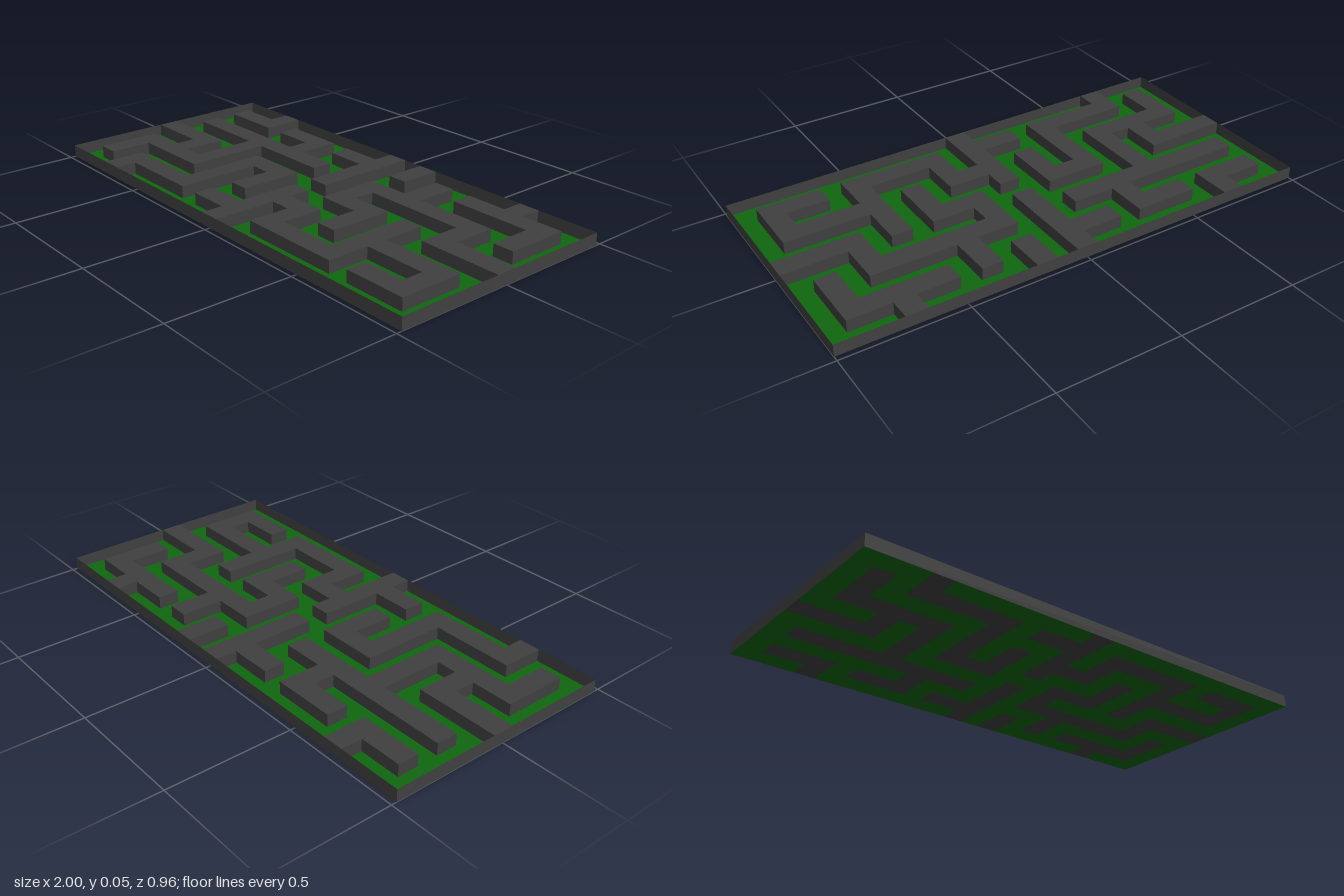
import * as THREE from 'three';
import { mergeGeometries } from 'three/addons/utils/BufferGeometryUtils.js';

// Maze plan seen from above, back row first: # is wall, . is corridor
const PLAN = [
  '...#.......#.#.....#...',
  '.###.###.###.#.#.#####.',
  '.......#...#...#.....#.',
  '.#########.#.#######.#.',
  '.....#.....#.#.....#...',
  '####.#.###...###.#.####',
  '...#.#.#.#.#...#.#.....',
  '.#####.#.#.###.#.#####.',
  '.#.....#...#.#...#...#.',
  '.#.#####.###.#####.###.',
  '...#.......#...........',
];
const COLS = PLAN[0].length, ROWS = PLAN.length;
const CELL = 2 / COLS, HEIGHT = 0.05;
const W = COLS * CELL, D = ROWS * CELL;

// Upright sheet centred at (x, z), facing the direction given by angle
function upright(width, x, z, angle) {
  return new THREE.PlaneGeometry(width, HEIGHT).rotateY(angle).translate(x, HEIGHT / 2, z);
}

// Level sheet facing up or down
function level(w, d, x, y, z, up = true) {
  return new THREE.PlaneGeometry(w, d).rotateX(up ? -Math.PI / 2 : Math.PI / 2).translate(x, y, z);
}

export function createModel() {
  const group = new THREE.Group();
  const wallMaterial = new THREE.MeshStandardMaterial({ color: 0x404040, side: THREE.DoubleSide });
  const floorMaterial = new THREE.MeshStandardMaterial({ color: 0x0f660f, side: THREE.DoubleSide });
  const walls = [], floor = [];
  const sides = [[0, 1], [1, 0], [0, -1], [-1, 0]];

  for (let r = 0; r < ROWS; r++) {
    for (let c = 0; c < COLS; c++) {
      const x = (c + 0.5) * CELL - W / 2, z = (r + 0.5) * CELL - D / 2;
      if (PLAN[r][c] !== '#') {
        floor.push(level(CELL, CELL, x, 0, z));
        continue;
      }
      // Wall block: top, underside and only the sides that face a corridor
      walls.push(level(CELL, CELL, x, HEIGHT, z), level(CELL, CELL, x, 0, z, false));
      sides.forEach(([dx, dz], i) => {
        if (PLAN[r + dz]?.[c + dx] === '.') {
          walls.push(upright(CELL, x + dx * CELL / 2, z + dz * CELL / 2, i * Math.PI / 2));
        }
      });
    }
  }

  // Thin outer wall around the whole maze
  const border = sides.map(([dx, dz], i) =>
    upright(dx ? D : W, dx * W / 2, dz * D / 2, i * Math.PI / 2));

  const add = (name, parts, material) => {
    const mesh = new THREE.Mesh(mergeGeometries(parts), material);
    mesh.name = name;
    group.add(mesh);
  };
  add('mazeWalls', walls, wallMaterial);
  add('outerWall', border, wallMaterial);
  add('corridorFloor', floor, floorMaterial);
  group.name = 'maze';
  return group;
}
